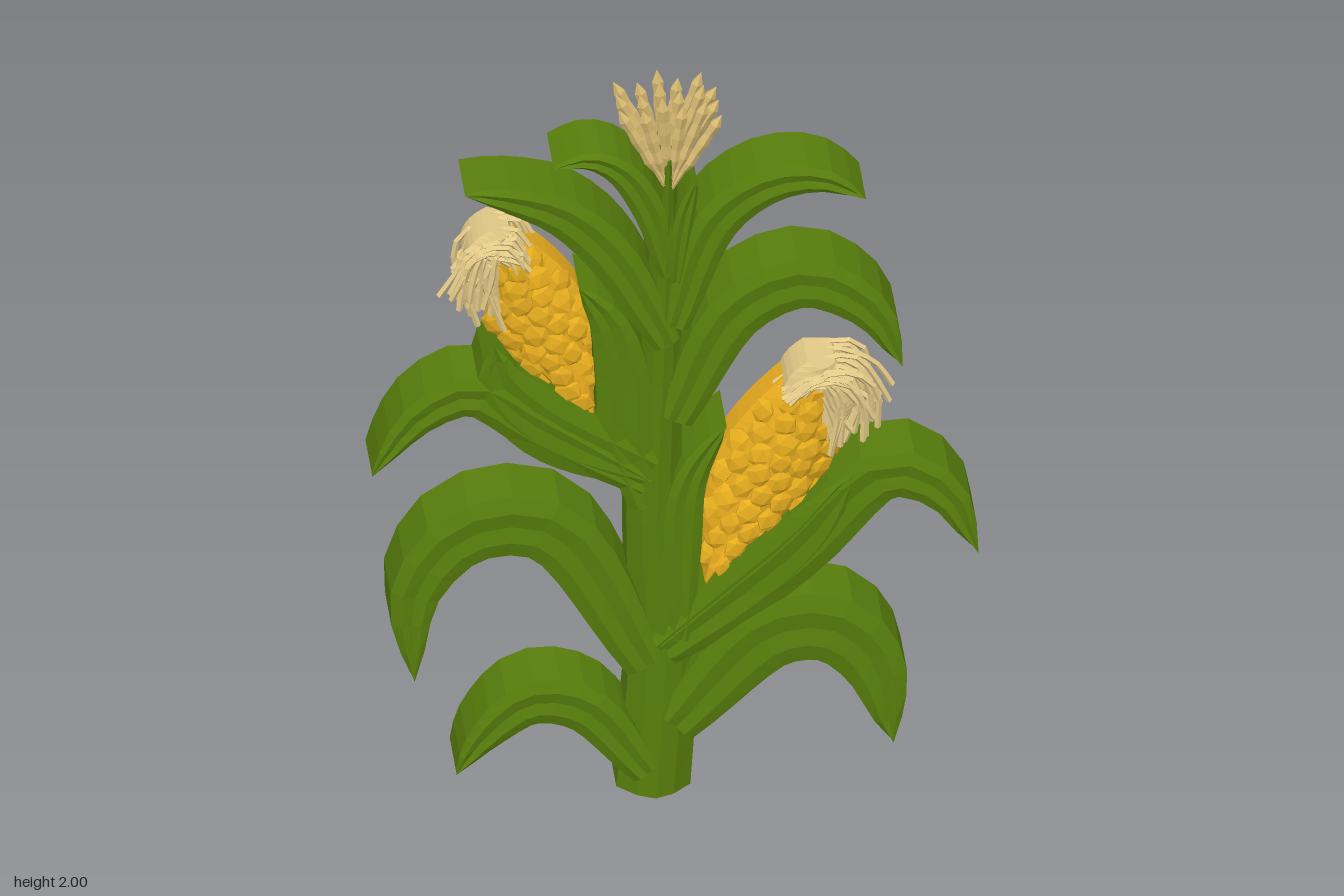
import * as THREE from 'three';
import { mergeGeometries } from 'three/addons/utils/BufferGeometryUtils.js';

const mat = (name, color) => {
  const m = new THREE.MeshStandardMaterial({ color, flatShading: true, side: THREE.DoubleSide });
  m.name = name;
  return m;
};

// Small seeded generator for natural variation, range -1..1
function makeJitter(seed) {
  return () => {
    seed = (seed * 16807) % 2147483647;
    return (seed / 2147483647) * 2 - 1;
  };
}

const path = (pts) => new THREE.CatmullRomCurve3(pts.map(([x, y]) => new THREE.Vector3(x, y, 0)));

// Half-width along a part, t from its first point to its last
const leafWidth = (t) => Math.sin(Math.PI * 0.8 * Math.pow(t, 0.75));
const cobWidth = (t) => Math.sin(Math.PI * (0.12 + 0.88 * t));
const stalkWidth = (t) => 1 - 0.76 * Math.pow(t, 1.4);

// Front height across a part, u from one edge to the other
const leafFront = (u) => 0.065 + 0.008 * Math.abs(Math.sin(2 * Math.PI * u)) + 0.004 * Math.sin(Math.PI * u);
const stalkFront = (u) => 0.02 + 0.053 * Math.sin(Math.PI * u);
const cobFront = (u) => -0.01 + 0.074 * Math.pow(Math.sin(Math.PI * u), 0.6);
const capFront = (u) => 0.02 + 0.03 * Math.sin(Math.PI * u);

// Centre and sideways direction at t on a path
function frame(curve, t) {
  const dir = curve.getTangentAt(t);
  return { centre: curve.getPointAt(t), side: new THREE.Vector3(-dir.y, dir.x, 0) };
}

// Flat-backed solid swept along a path with a width rule and a front rule
function sweep(pts, width, widthRule, frontRule, back = -0.077) {
  const curve = path(pts), steps = 14, across = 4, rings = [], pos = [];
  for (let i = 0; i <= steps; i++) {
    const { centre, side } = frame(curve, i / steps);
    const w = width * widthRule(i / steps);
    const at = (u, z) => {
      const p = centre.clone().addScaledVector(side, w * (1 - 2 * u));
      return p.set(p.x, Math.max(0, p.y), z);
    };
    const ring = [];
    for (let j = 0; j <= across; j++) ring.push(at(j / across, frontRule(j / across)));
    ring.push(at(1, back), at(0, back));
    rings.push(ring);
  }
  const tri = (...corners) => corners.forEach((c) => pos.push(c.x, c.y, c.z));
  const n = across + 3, first = rings[0], last = rings[steps];
  for (let i = 0; i < steps; i++) {
    for (let j = 0; j < n; j++) {
      const k = (j + 1) % n, r = rings[i], s = rings[i + 1];
      tri(r[j], s[k], s[j]);
      tri(r[j], r[k], s[k]);
    }
  }
  for (let j = 1; j < n - 1; j++) {
    tri(first[0], first[j + 1], first[j]);
    tri(last[0], last[j], last[j + 1]);
  }
  const g = new THREE.BufferGeometry();
  g.setAttribute('position', new THREE.Float32BufferAttribute(pos, 3));
  g.computeVertexNormals();
  return g;
}

// Staggered, flattened kernels over the rounded front of a cob
function kernels(pts, width, jitter) {
  const curve = path(pts), parts = [];
  for (let row = 0; row < 10; row++) {
    const t = 0.09 + row * 0.088;
    const { centre, side } = frame(curve, t);
    const w = width * cobWidth(t), count = Math.max(1, Math.round(w / 0.027));
    for (let i = 0; i < count; i++) {
      const u = (i + 0.5 + (row % 2 ? 0.2 : -0.2)) / count;
      const p = centre.clone().addScaledVector(side, w * (1 - 2 * u));
      const g = new THREE.IcosahedronGeometry(1, 0);
      g.rotateZ(jitter() * 2).scale(w / count * 1.15, 0.038, 0.011);
      g.rotateY((u - 0.5) * 1.3).rotateX(jitter() * 0.15).rotateZ(Math.atan2(-side.y, -side.x));
      parts.push(g.translate(p.x, p.y, cobFront(u)));
    }
  }
  return mergeGeometries(parts);
}

// Drooping strands spread through the full depth
function silkStrands(pts, jitter) {
  const parts = [];
  for (let i = 0; i < 28; i++) {
    const z = -0.066 + 0.022 * (i % 7), spread = jitter() * 0.028, drop = jitter() * 0.05;
    const strand = pts.map(([x, y], k) => {
      const end = k === pts.length - 1 ? drop : 0;
      return new THREE.Vector3(
        x + spread + jitter() * 0.012 + Math.sign(x) * end * 0.8,
        y + spread * 0.5 + jitter() * 0.008 + end,
        z + jitter() * 0.004);
    });
    parts.push(new THREE.TubeGeometry(new THREE.CatmullRomCurve3(strand), 8, 0.0075, 4));
  }
  return mergeGeometries(parts);
}

// Three fans of lumpy seed spikes, one behind the other
function tasselSpikes() {
  const parts = [];
  for (const z of [-0.061, -0.008, 0.056]) {
    for (let i = 0; i < 6; i++) {
      const length = i % 2 ? 0.245 : 0.27, profile = [];
      for (let k = 0; k <= 8; k++) {
        const r = k < 3 ? 0.007 : 0.012 + 0.003 * (k % 2);
        profile.push(new THREE.Vector2(k === 8 ? 0 : r, length * k / 8));
      }
      const g = new THREE.LatheGeometry(profile, 5);
      parts.push(g.rotateZ(0.46 - 0.2 * i).translate(-0.015, 1.735, z));
    }
  }
  return mergeGeometries(parts);
}

export function createModel() {
  const group = new THREE.Group();
  group.name = 'cornPlant';
  const jitter = makeJitter(7);
  const green = mat('leafGreen', 0x587e0c);
  const gold = mat('kernelGold', 0xeab01e);
  const amber = mat('cobAmber', 0xf0b220);
  const tan = mat('silkTan', 0xe2c987);
  const straw = mat('tasselStraw', 0xd6b870);
  const add = (name, geometry, material) => {
    const m = new THREE.Mesh(geometry, material);
    m.name = name;
    group.add(m);
  };

  // Stalk
  add('stalk', sweep([[-0.048, 0], [-0.025, 0.38], [-0.045, 0.8], [-0.03, 1.2], [-0.015, 1.83]],
    0.088, stalkWidth, stalkFront), green);

  // Leaves, each from its tip to the stalk
  const leaf = (name, width, ...pts) => add(name, sweep(pts, width, leafWidth, leafFront), green);
  leaf('bottomRightLeaf', 0.062, [-0.52, 0.106], [-0.44, 0.215], [-0.34, 0.29], [-0.22, 0.265], [-0.07, 0.07]);
  leaf('bottomLeftLeaf', 0.095, [0.515, 0.12], [0.465, 0.35], [0.37, 0.45], [0.23, 0.445], [0, 0.2]);
  leaf('lowerRightLeaf', 0.084, [-0.62, 0.38], [-0.615, 0.63], [-0.49, 0.785], [-0.3, 0.78], [-0.07, 0.38]);
  leaf('lowerLeftLeaf', 0.078, [0.717, 0.65], [0.63, 0.83], [0.5, 0.885], [0.27, 0.66], [-0.02, 0.42]);
  leaf('middleRightLeaf', 0.06, [-0.72, 0.98], [-0.6, 1.135], [-0.48, 1.185], [-0.33, 1.08], [-0.07, 0.9]);
  leaf('middleLeftLeaf', 0.072, [0.537, 1.2], [0.46, 1.36], [0.31, 1.45], [0.15, 1.38], [0, 1.08]);
  leaf('upperLeftLeaf', 0.054, [0.45, 1.69], [0.34, 1.745], [0.22, 1.735], [0.1, 1.64], [0, 1.35]);
  leaf('upperRightLeaf', 0.057, [-0.5, 1.77], [-0.38, 1.735], [-0.27, 1.685], [-0.16, 1.57], [-0.02, 1.3]);
  leaf('topRightLeaf', 0.038, [-0.29, 1.83], [-0.2, 1.84], [-0.13, 1.8], [-0.065, 1.69], [-0.015, 1.5]);
  leaf('topLeftBlade', 0.024, [0.05, 1.77], [0.02, 1.65], [0, 1.48]);

  // Husk petals wrapped round the cobs
  leaf('rightOuterHusk', 0.088, [-0.43, 1.325], [-0.41, 1.21], [-0.3, 1.08], [-0.06, 0.94]);
  leaf('rightInnerHusk', 0.065, [-0.23, 1.48], [-0.16, 1.37], [-0.125, 1.2], [-0.12, 1.05], [-0.07, 0.84]);
  leaf('leftOuterHusk', 0.085, [0.42, 0.9], [0.31, 0.72], [0.155, 0.57], [-0.03, 0.42]);
  leaf('leftInnerHusk', 0.047, [0.12, 1.06], [0.035, 0.9], [0.015, 0.72], [0.01, 0.45]);

  // Cobs from silk end to base, with kernels
  const cob = (name, width, ...pts) => {
    add(name, sweep(pts, width, cobWidth, cobFront, -0.079), amber);
    add(name + 'Kernels', kernels(pts, width, jitter), gold);
  };
  cob('rightCob', 0.118, [-0.4, 1.57], [-0.32, 1.36], [-0.19, 1.09]);
  cob('leftCob', 0.135, [0.33, 1.13], [0.24, 0.89], [0.07, 0.6]);

  // Silk: a solid cap, arching strands and strands lying over the cap
  const cap = (name, width, ...pts) => add(name, sweep(pts, width, cobWidth, capFront, -0.08), tan);
  cap('rightSilkCap', 0.065, [-0.41, 1.62], [-0.43, 1.55], [-0.43, 1.43]);
  cap('leftSilkCap', 0.09, [0.35, 1.19], [0.345, 1.12], [0.37, 0.97]);
  const silk = (name, ...pts) => add(name, silkStrands(pts, jitter), tan);
  silk('rightSilk', [-0.36, 1.54], [-0.4, 1.6], [-0.46, 1.59], [-0.49, 1.53], [-0.495, 1.44]);
  silk('rightSilkOver', [-0.38, 1.56], [-0.42, 1.58], [-0.445, 1.52], [-0.44, 1.42]);
  silk('leftSilk', [0.28, 1.12], [0.34, 1.17], [0.41, 1.165], [0.45, 1.11], [0.46, 1.02]);
  silk('leftSilkOver', [0.28, 1.12], [0.34, 1.15], [0.375, 1.09], [0.375, 0.98]);

  // Tassel
  add('tassel', tasselSpikes(), straw);
  return group;
}
